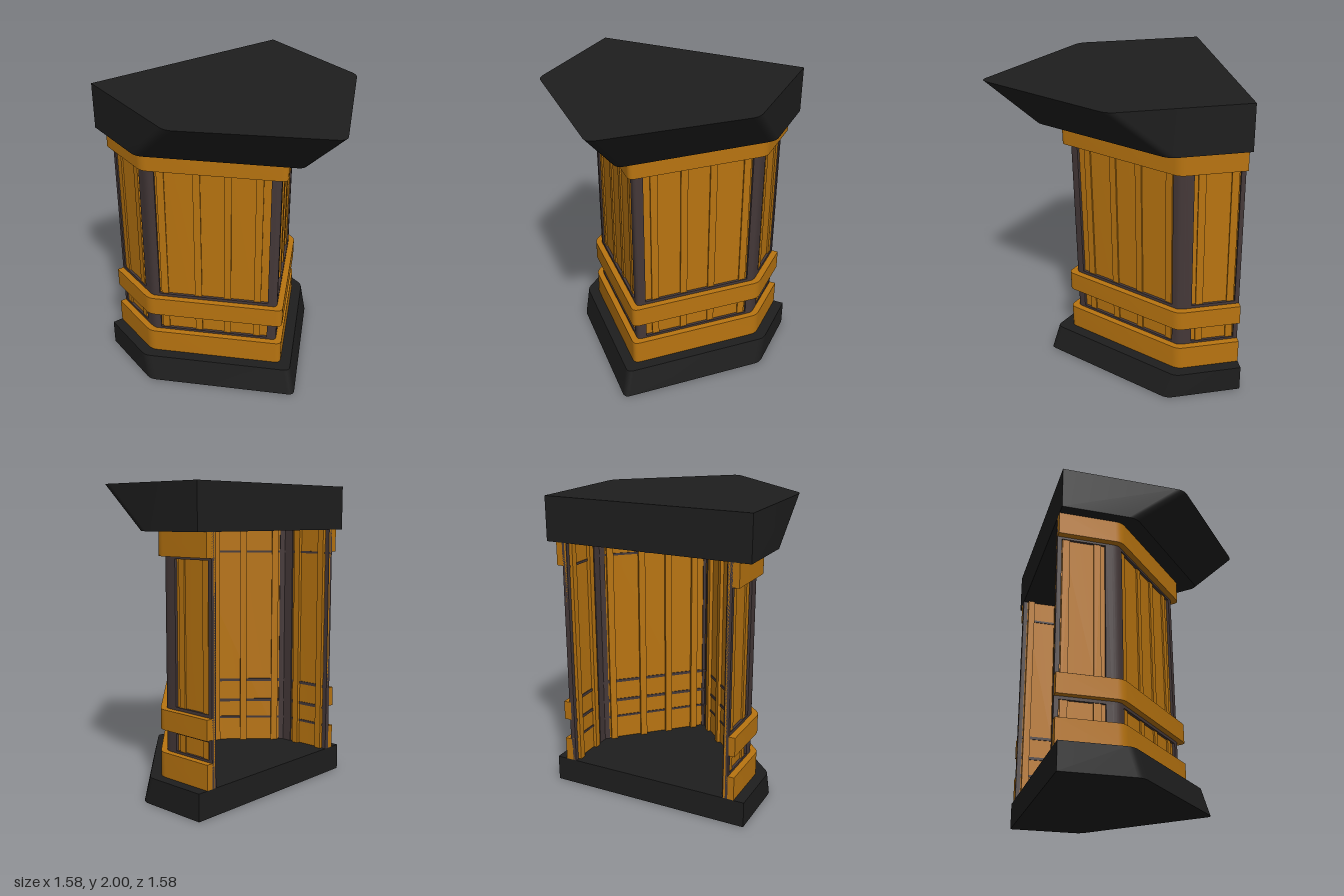
import * as THREE from 'three';
import { toCreasedNormals } from 'three/addons/utils/BufferGeometryUtils.js';

const CUT = -0.59; // the piece is sliced along x + z = CUT
const black = new THREE.MeshStandardMaterial({ color: 0x1e1e1e });
const wood = new THREE.MeshStandardMaterial({ color: 0xb87410 });
const dark = new THREE.MeshStandardMaterial({ color: 0x443838 });

const swap = ([x, z]) => [z, x]; // mirror across the diagonal x = z

// Open path (x, z) with its inner corners rounded
function rounded(pts, r) {
  const out = [pts[0]];
  for (let i = 1; i < pts.length - 1; i++) {
    const p = new THREE.Vector2(...pts[i]);
    const toward = q => {
      const d = new THREE.Vector2(...q).sub(p);
      return d.setLength(Math.min(r, d.length() * 0.45)).add(p);
    };
    const curve = new THREE.QuadraticBezierCurve(toward(pts[i - 1]), p, toward(pts[i + 1]));
    curve.getPoints(5).forEach(v => out.push([v.x, v.y]));
  }
  out.push(pts[pts.length - 1]);
  return out;
}

// Footprint: cut end, chamfer corner, front corner, then the mirrored half
function footprint(front, chamfer, r = 0.04) {
  const end = [(CUT - chamfer) / 2, (CUT + chamfer) / 2];
  const bend = [front - chamfer, front];
  return rounded([end, bend, [front, front], swap(bend), swap(end)], r);
}

// Upright prism from a closed outline (x, z)
function prism(outline, y0, y1) {
  const shape = new THREE.Shape(outline.map(([x, z]) => new THREE.Vector2(x, -z)));
  const g = new THREE.ExtrudeGeometry(shape, { depth: y1 - y0, bevelEnabled: false });
  g.rotateX(-Math.PI / 2).translate(0, y0, 0);
  return toCreasedNormals(g, 0.55);
}

// Strip following the walls between two footprints
function strip(outer, inner, y0, y1) {
  return prism([...outer, ...inner.slice().reverse()], y0, y1);
}

// Solid between two convex outlines with equal point counts
function loft(low, high, y0, y1) {
  const pos = [];
  const put = (p, y) => pos.push(p[0], y, p[1]);
  const n = low.length;
  for (let i = 0; i < n; i++) {
    const j = (i + 1) % n;
    put(low[i], y0); put(low[j], y0); put(high[j], y1);
    put(low[i], y0); put(high[j], y1); put(high[i], y1);
    if (i > 0 && j > 0) {
      put(high[0], y1); put(high[i], y1); put(high[j], y1);
      put(low[0], y0); put(low[j], y0); put(low[i], y0);
    }
  }
  const g = new THREE.BufferGeometry();
  g.setAttribute('position', new THREE.Float32BufferAttribute(pos, 3));
  return toCreasedNormals(g, 0.5);
}

export function createModel() {
  const model = new THREE.Group();
  const add = (name, geometry, material) => {
    const mesh = new THREE.Mesh(geometry, material);
    mesh.name = name;
    model.add(mesh);
    return mesh;
  };

  // Plinth and flared roof
  add('base', loft(footprint(0.55, 0.99), footprint(0.51, 0.99), 0, 0.175), black);
  const bend = [-0.205, 0.787];
  const roofTop = rounded([[-0.79, 0.2], bend, [0.76, 0.757], swap(bend), [0.2, -0.79]], 0.05);
  add('roof', loft(footprint(0.545, 0.99, 0.05), roofTop, 1.71, 2), black);

  // Three raised bands around the walls
  for (const [name, y0, y1] of [['lowerBand', 0.175, 0.335], ['middleBand', 0.48, 0.61], ['upperBand', 1.56, 1.71]])
    add(name, strip(footprint(0.44, 0.89), footprint(0.385, 0.815), y0, y1), wood);

  // Thin wall panel
  add('wallPanel', strip(footprint(0.382, 0.806), footprint(0.37, 0.79), 0.175, 1.71), wood);

  // Narrow dark rails bordering the bands
  for (const [y0, y1] of [[0.335, 0.35], [0.46, 0.48], [0.61, 0.63], [1.545, 1.56]])
    add('rail', strip(footprint(0.4, 0.83), footprint(0.365, 0.782), y0, y1), dark);

  // Corner posts
  const cornerOuter = rounded([[0.34, 0.4], [0.4, 0.4], [0.4, 0.34]], 0.03);
  add('cornerPost', prism([...cornerOuter, [0.36, 0.34], [0.36, 0.36], [0.34, 0.36]], 0.175, 1.71), dark);

  const rod = (x, z, turn) => {
    const mesh = add('batten', new THREE.BoxGeometry(0.046, 1.535, 0.046), wood);
    mesh.position.set(x, 0.9425, z);
    mesh.rotation.y = turn;
  };

  // Posts and battens on each half of the diagonal
  for (const flip of [p => p, swap]) {
    const bendOuter = rounded([[-0.49, 0.34], [-0.43, 0.4], [-0.38, 0.4]], 0.04);
    const bendPost = [...bendOuter, [-0.38, 0.36], [-0.415, 0.36], [-0.462, 0.312]];
    add('bendPost', prism(bendPost.map(flip), 0.175, 1.71), dark);

    const endPost = [[-0.71, 0.12], [-0.69, 0.14], [-0.666, 0.116], [-0.686, 0.096]];
    add('endPost', prism(endPost.map(flip), 0.175, 1.71), dark);

    for (const x of [-0.345, -0.12, 0.073, 0.27]) rod(...flip([x, 0.369]), 0);
    for (const x of [-0.648, -0.505]) rod(...flip([x, x + 0.789]), Math.PI / 4);
  }
  return model;
}
